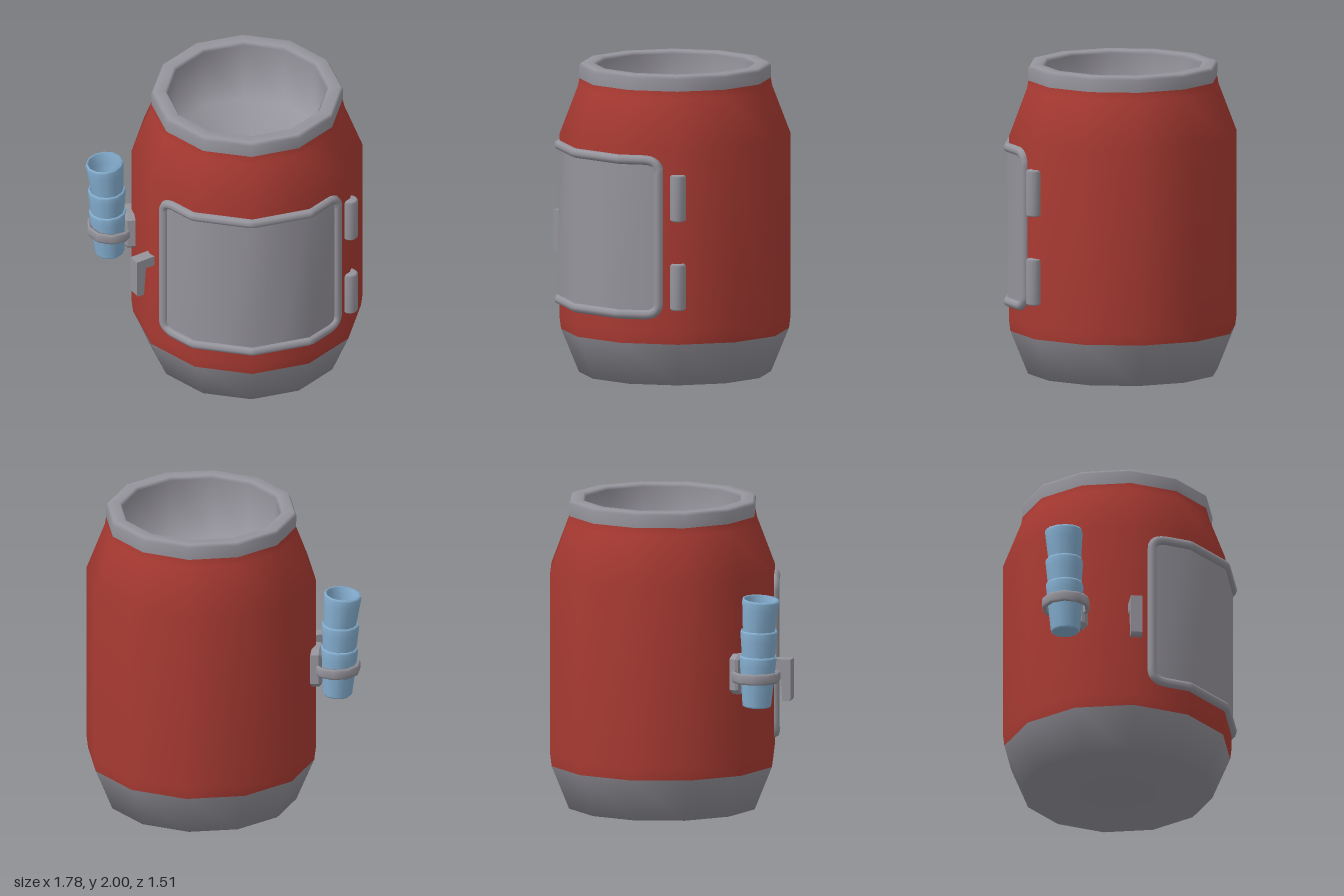
import * as THREE from 'three';

const paint = (name, color) => new THREE.MeshStandardMaterial({ name, color });
const V2 = (pts) => pts.map(([x, y]) => new THREE.Vector2(x, y));

export function createModel() {
  const red = paint('red paint', 0xa83a32);
  const grey = paint('grey metal', 0x96949c);
  const blue = paint('blue cup', 0x86b0d2);
  const model = new THREE.Group();
  const add = (parent, name, geo, mat, x = 0, y = 0, z = 0) => {
    const m = new THREE.Mesh(geo, mat);
    m.name = name;
    m.position.set(x, y, z);
    parent.add(m);
    return m;
  };

  // twelve-sided barrel, set off-centre to make room for the cups
  const barrel = new THREE.Group();
  barrel.name = 'barrel';
  barrel.position.set(0.145, 0, -0.015);
  model.add(barrel);
  const lathe = (pts) => new THREE.LatheGeometry(V2(pts), 12);
  add(barrel, 'base', lathe([[0, 0], [0.615, 0], [0.73, 0.28]]), grey);
  add(barrel, 'body', lathe([[0.73, 0.28], [0.74, 0.36], [0.74, 1.54], [0.622, 1.85], [0.613, 1.9]]), red);
  add(barrel, 'rimAndBowl', lathe([
    [0.613, 1.9], [0.615, 1.98], [0.6, 2], [0.525, 2], [0.51, 1.98], [0.51, 1.56], [0, 1.56],
  ]), grey);

  // depth of the front facets at a given x, for a barrel of corner radius r
  const facetZ = (x, r) => {
    const a = Math.abs(x);
    return a < r / 2 ? r - 0.268 * a : 1.366 * r - a;
  };

  // front panel bent over the facets
  const panel = new THREE.PlaneGeometry(1.11, 1, 6, 1);
  const p = panel.attributes.position;
  for (let i = 0; i < p.count; i++) p.setZ(i, facetZ(p.getX(i), 0.748));
  panel.computeVertexNormals();
  add(barrel, 'frontPanel', panel, grey, 0, 0.97, 0);

  // tubular frame: rounded rectangle following the facets
  const W = 0.555, H = 0.5, C = 0.06, R = 0.745;
  const outline = [];
  [[1, 1], [-1, 1], [-1, -1], [1, -1]].forEach(([sx, sy], q) => {
    for (let i = 0; i <= 4; i++) {
      const a = (q + i / 4) * Math.PI / 2;
      outline.push([sx * (W - C) + C * Math.cos(a), sy * (H - C) + C * Math.sin(a)]);
    }
    // bend points on the long horizontal edges
    if (q % 2 === 0) for (const x of [R / 2, 0, -R / 2]) outline.push([sx * x, sy * H]);
  });
  const loop = outline.map(([x, y]) => new THREE.Vector3(x, y, facetZ(x, R)));
  const path = new THREE.CurvePath();
  loop.forEach((a, i) => path.add(new THREE.LineCurve3(a, loop[(i + 1) % loop.length])));
  add(barrel, 'panelFrame', new THREE.TubeGeometry(path, 200, 0.031, 8, true), grey, 0, 0.97, 0);

  // hinges with bevelled ends
  for (const y of [0.655, 1.23]) {
    add(model, 'hinge', new THREE.LatheGeometry(V2([
      [0, -0.15], [0.04, -0.15], [0.052, -0.138], [0.052, 0.138], [0.04, 0.15], [0, 0.15],
    ]), 12), grey, 0.787, y, 0.355);
  }

  // latch handle: arm and tapered drop grip in one bent profile
  const grip = new THREE.Shape(V2([
    [0, 0.99], [0.17, 0.99], [0.17, 0.735], [0.16, 0.72], [0.115, 0.72], [0.1, 0.92], [0, 0.92],
  ].reverse()));
  const handle = add(model, 'latchHandle',
    new THREE.ExtrudeGeometry(grip, { depth: 0.075, bevelEnabled: false }).translate(0, 0, -0.0375),
    grey, -0.455, 0, 0.335);
  handle.rotation.y = Math.PI + Math.PI / 6;

  // cup holder: wall plate and ring
  const holder = new THREE.Group();
  holder.name = 'cupHolder';
  model.add(holder);
  const plate = new THREE.Shape(V2([
    [-0.09, -0.1], [-0.06, -0.13], [0.06, -0.13], [0.09, -0.1], [0.09, 0.1], [0.06, 0.13], [-0.06, 0.13], [-0.09, 0.1],
  ]));
  const wall = add(holder, 'wallPlate', new THREE.ExtrudeGeometry(plate, {
    depth: 0.05, bevelThickness: 0.015, bevelSize: 0.015, bevelOffset: -0.015, bevelSegments: 1,
  }), grey, -0.575, 0.95, -0.02);
  wall.rotation.y = -Math.PI / 2;
  add(holder, 'ring', new THREE.LatheGeometry(V2([
    [0.13, 0.915], [0.15, 0.91], [0.158, 0.925], [0.158, 0.965], [0.15, 0.98], [0.13, 0.975], [0.13, 0.915],
  ]), 10), grey, -0.728, 0, -0.02);

  // stacked cups, each tipped a little more
  const cup = new THREE.LatheGeometry(V2([
    [0, 0], [0.085, 0], [0.095, 0.012], [0.118, 0.27], [0.122, 0.32], [0.116, 0.335],
    [0.104, 0.33], [0.098, 0.26], [0.078, 0.05], [0, 0.05],
  ]), 12);
  [[-0.735, 0.75, -0.02, 0.04], [-0.745, 0.915, -0.02, 0.03], [-0.74, 1.12, -0.018, 0.09]]
    .forEach(([x, y, z, tilt]) => {
      add(model, 'cup', cup, blue, x, y, z).rotation.z = tilt;
    });
  return model;
}
